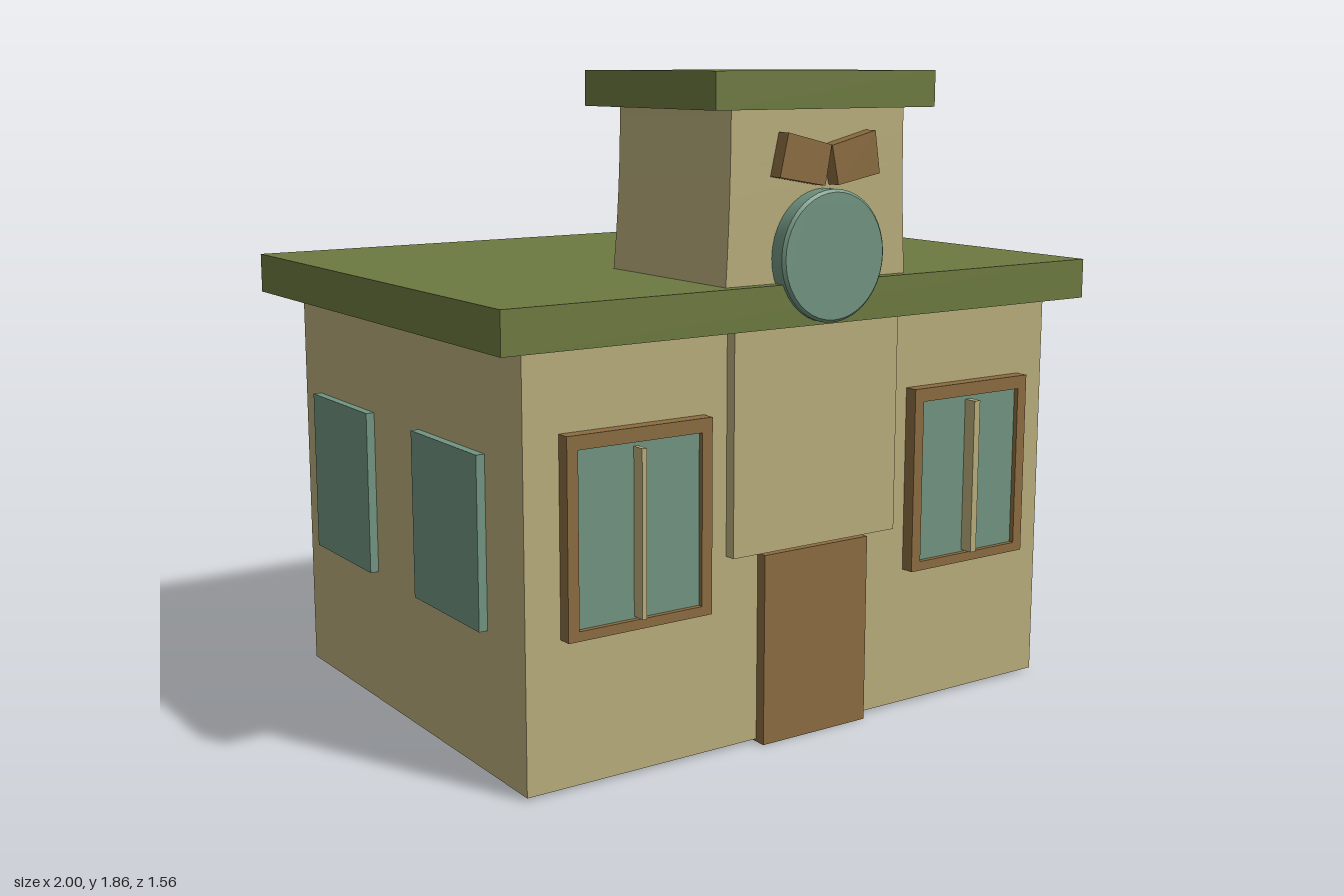
import * as THREE from 'three';
import { toCreasedNormals } from 'three/addons/utils/BufferGeometryUtils.js';

const material = (name, color) => {
  const m = new THREE.MeshStandardMaterial({ color });
  m.name = name;
  return m;
};

export function createModel() {
  const model = new THREE.Group();
  model.name = 'building';
  const wall = material('sand wall', 0xb9ad7c);
  const roofGreen = material('olive roof', 0x6d7a40);
  const glass = material('teal glass', 0x719481);
  const wood = material('brown wood', 0x8b6c40);

  const add = (name, geometry, mat, parent = model) => {
    const mesh = new THREE.Mesh(geometry, mat);
    mesh.name = name;
    parent.add(mesh);
    return mesh;
  };
  // Box given by its minimum and maximum along each axis
  const box = (name, mat, [x0, x1], [y0, y1], [z0, z1], parent) => {
    const g = new THREE.BoxGeometry(x1 - x0, y1 - y0, z1 - z0);
    g.translate((x0 + x1) / 2, (y0 + y1) / 2, (z0 + z1) / 2);
    return add(name, g, mat, parent);
  };
  const polygon = (points) => new THREE.Shape(points.map(([x, y]) => new THREE.Vector2(x, y)));
  const rect = (x0, x1, y0, y1) => polygon([[x0, y0], [x1, y0], [x1, y1], [x0, y1]]);
  const extrude = (shape, z, depth, options = {}) =>
    new THREE.ExtrudeGeometry(shape, { depth, bevelEnabled: false, ...options }).translate(0, 0, z);

  // Main block and overhanging flat roof
  box('walls', wall, [-0.905, 0.905], [0.008, 1.2], [-0.68, 0.68]);
  box('roof', roofGreen, [-1, 1], [1.18, 1.297], [-0.78, 0.75]);

  // Tower, flaring slightly at its foot
  const towerShape = new THREE.BoxGeometry(0.59, 0.48, 0.535, 1, 6, 1);
  const p = towerShape.attributes.position;
  for (let i = 0; i < p.count; i++) {
    const down = 0.5 - p.getY(i) / 0.48;
    const flare = 0.015 * down * down;
    p.setX(i, p.getX(i) + Math.sign(p.getX(i)) * flare);
    if (p.getZ(i) < 0) p.setZ(i, p.getZ(i) - flare);
  }
  towerShape.translate(0.003, 1.53, 0.448);
  add('tower', toCreasedNormals(towerShape, 0.5), wall);
  box('towerRoof', roofGreen, [-0.373, 0.373], [1.76, 1.86], [0.125, 0.76]);

  // Front panel and door
  box('frontPanel', wall, [-0.275, 0.296], [0.555, 1.19], [0.66, 0.714]);
  box('door', wood, [-0.167, 0.198], [0, 0.548], [0.66, 0.714]);

  // Round plate with a softened rim
  const circle = new THREE.Shape().absellipse(0, 0, 0.165, 0.173, 0, Math.PI * 2);
  const plate = extrude(circle, 0, 0.046, {
    bevelEnabled: true, bevelThickness: 0.008, bevelSize: 0.008, bevelSegments: 1, curveSegments: 20,
  });
  const disc = add('roundPlate', toCreasedNormals(plate, 0.6), glass);
  disc.position.set(0.017, 1.366, 0.718);
  disc.rotation.y = -0.02;

  // Two boards forming a bow above the plate
  const boards = [
    [[-0.163, 1.583], [-0.01, 1.556], [0.01, 1.665], [-0.136, 1.7]],
    [[0.035, 1.556], [0.18, 1.583], [0.162, 1.7], [0.012, 1.663]],
  ];
  for (const b of boards) add('bowBoard', extrude(polygon(b), 0.712, 0.046), wood);

  // Framed front windows: left edge, right edge, mullion centre, mullion width
  for (const [x0, x1, mid, width] of [[-0.8, -0.35, -0.583, 0.014], [0.365, 0.807, 0.585, 0.022]]) {
    const win = new THREE.Group();
    win.name = 'frontWindow';
    model.add(win);
    const frame = rect(x0, x1, 0.415, 0.957);
    frame.holes.push(rect(x0 + 0.033, x1 - 0.033, 0.442, 0.918));
    add('windowFrame', extrude(frame, 0.67, 0.05), wood, win);
    box('windowPane', glass, [x0 + 0.03, x1 - 0.03], [0.44, 0.92], [0.67, 0.705], win);
    box('mullion', wall, [mid - width / 2, mid + width / 2], [0.448, 0.905], [0.69, 0.745], win);
  }

  // Plain side windows
  for (const [z0, z1] of [[0.065, 0.428], [-0.575, -0.212]]) {
    box('leftWindow', glass, [0.89, 0.935], [0.445, 0.918], [z0, z1]);
  }
  for (const [z0, z1] of [[0.1, 0.48], [-0.57, -0.19]]) {
    box('rightWindow', glass, [-0.93, -0.89], [0.405, 0.882], [z0, z1]);
  }
  return model;
}
